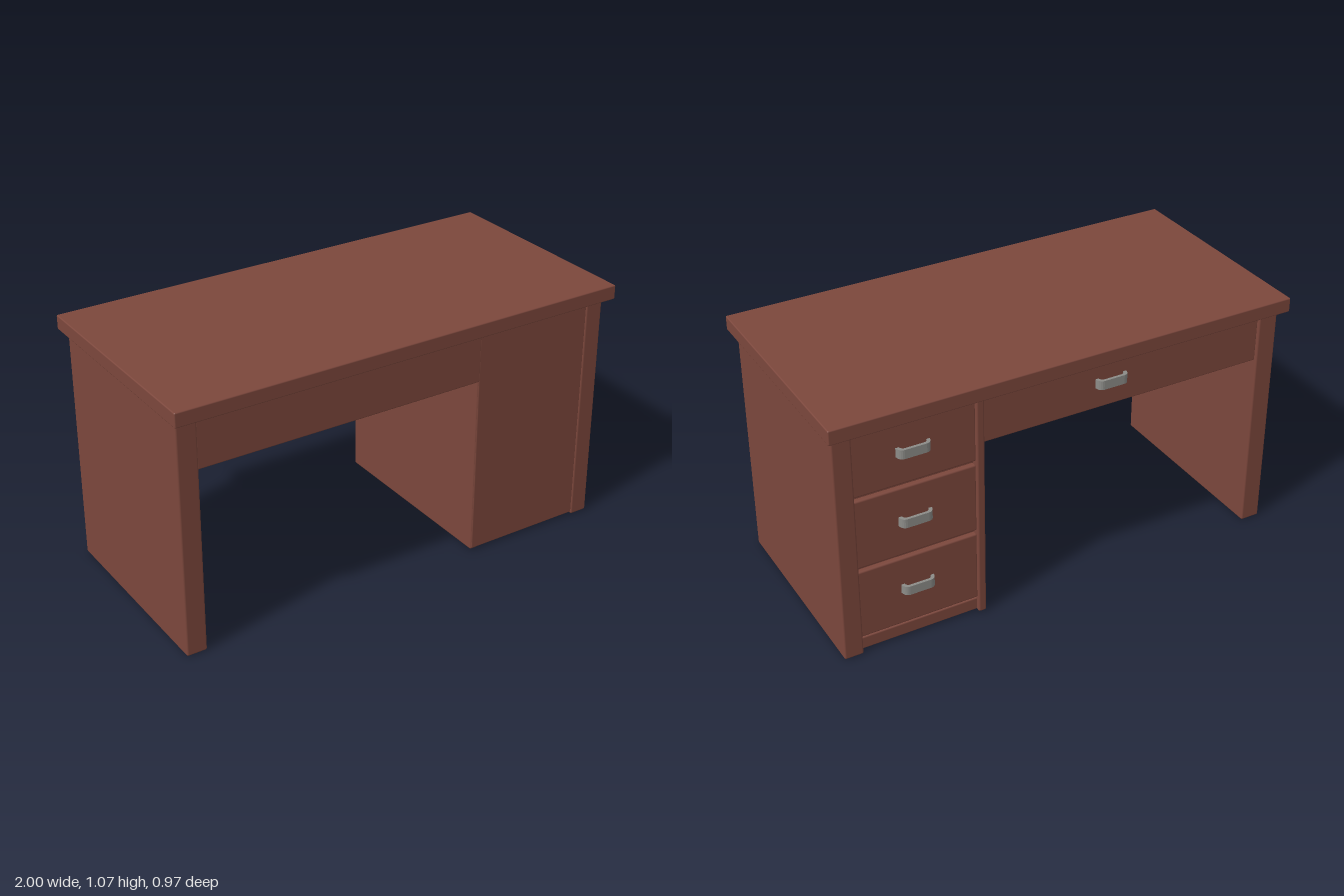
import * as THREE from 'three';
import { RoundedBoxGeometry } from 'three/addons/geometries/RoundedBoxGeometry.js';

export function createModel() {
  const desk = new THREE.Group();
  desk.name = 'desk';
  const wood = new THREE.MeshStandardMaterial({ color: 0x7c473c });
  wood.name = 'reddish wood';
  const metal = new THREE.MeshStandardMaterial({ color: 0x8c8c88 });
  metal.name = 'grey metal';

  // Softly rounded board given by its limits on each axis
  function board(name, [x0, x1], [y0, y1], [z0, z1], radius = 0.006) {
    const geometry = new RoundedBoxGeometry(x1 - x0, y1 - y0, z1 - z0, 2, radius);
    const mesh = new THREE.Mesh(geometry, wood);
    mesh.position.set((x0 + x1) / 2, (y0 + y1) / 2, (z0 + z1) / 2);
    mesh.name = name;
    desk.add(mesh);
  }

  const front = 0.437, back = -0.438; // drawers open towards the back
  const drawerFace = -0.425;

  // Top and the two full-depth sides
  board('desktop', [-1, 1], [1.006, 1.067], [-0.483, 0.483], 0.005);
  board('legPanel', [-0.977, -0.89], [0, 1.008], [back, front], 0.008);
  board('pedestalOuterPanel', [0.895, 0.975], [0, 1.008], [back, front], 0.008);

  // Pedestal body, its inner side and the plinth below the drawers
  board('pedestalBody', [0.362, 0.9], [0.008, 1.008], [-0.405, 0.432]);
  board('pedestalInnerPanel', [0.358, 0.392], [0.004, 1.008], [back, 0.43], 0.008);
  board('plinth', [0.385, 0.9], [0.008, 0.064], [-0.42, -0.38]);

  // Box over the knee space, closed by a panel at the front
  board('kneeBox', [-0.895, 0.365], [0.786, 1.008], [-0.405, 0.425], 0.004);
  board('modestyPanel', [-0.895, 0.37], [0.784, 1.008], [0.39, 0.432]);

  // Bowed pull: an arch seen from above, extruded upwards
  const arch = new THREE.Shape();
  arch.moveTo(-0.07, 0);
  arch.quadraticCurveTo(-0.066, 0.028, -0.045, 0.029);
  arch.lineTo(0.045, 0.029);
  arch.quadraticCurveTo(0.066, 0.028, 0.07, 0);
  arch.lineTo(0.056, 0);
  arch.quadraticCurveTo(0.053, 0.016, 0.04, 0.017);
  arch.lineTo(-0.04, 0.017);
  arch.quadraticCurveTo(-0.053, 0.016, -0.056, 0);
  const pull = new THREE.ExtrudeGeometry(arch, { depth: 0.039, bevelEnabled: false, curveSegments: 5 });
  pull.translate(0, 0, -0.0195);
  pull.rotateX(-Math.PI / 2);

  function handle(name, x, y) {
    const mesh = new THREE.Mesh(pull, metal);
    mesh.position.set(x, y, drawerFace + 0.001);
    mesh.name = name;
    desk.add(mesh);
  }

  // Three stacked drawers
  [[0.07, 0.378, 0.238], [0.394, 0.697, 0.552], [0.713, 1.004, 0.858]].forEach(([y0, y1, yPull], i) => {
    board(`pedestalDrawer${i + 1}`, [0.388, 0.9], [y0, y1], [drawerFace, -0.38], 0.008);
    handle(`pedestalHandle${i + 1}`, 0.65, yPull);
  });

  // Wide shallow drawer over the knee space
  board('centreDrawer', [-0.893, 0.362], [0.786, 1.004], [drawerFace, -0.38]);
  handle('centreHandle', -0.2, 0.898);

  return desk;
}
